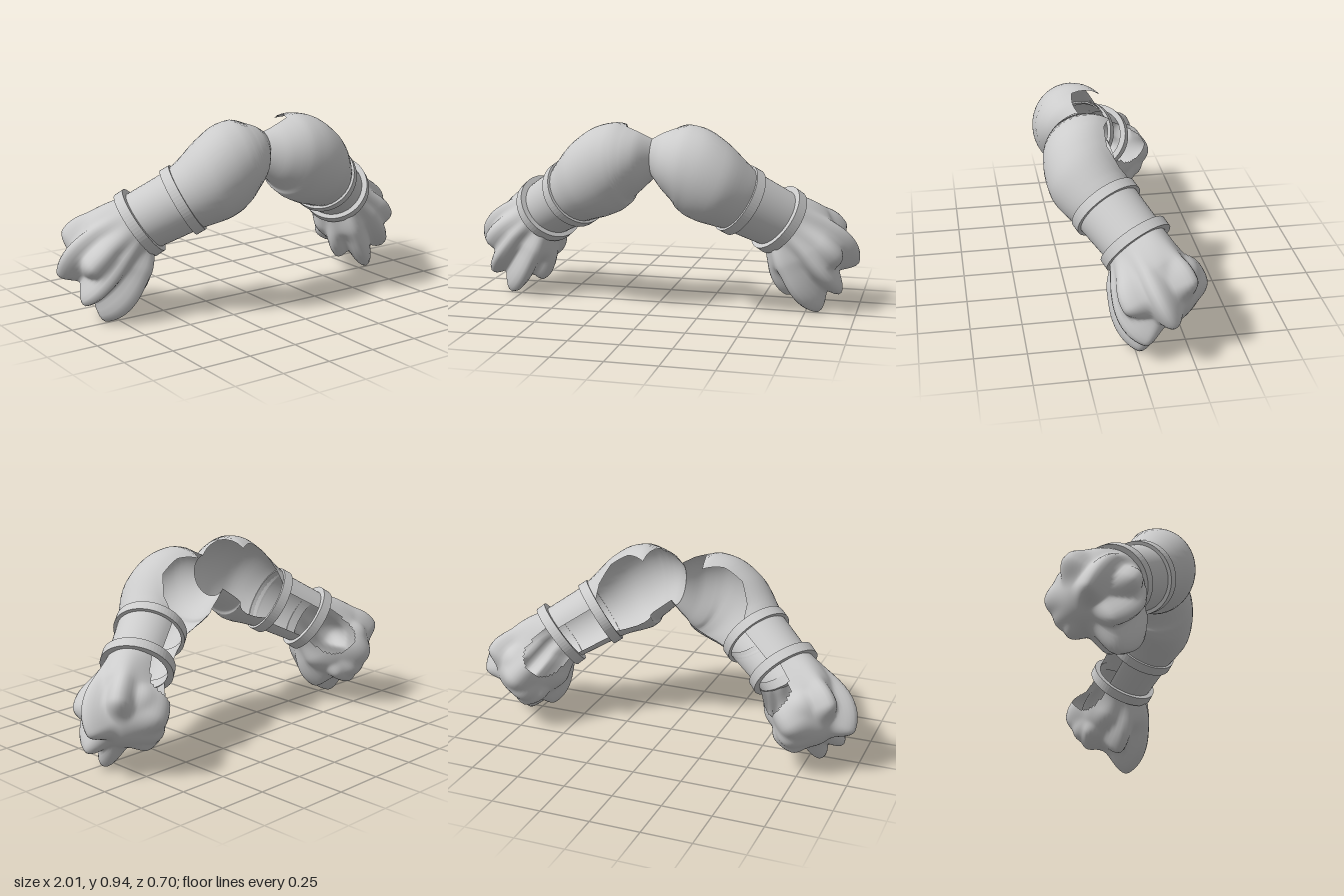
import * as THREE from 'three';
import { mergeVertices } from 'three/addons/utils/BufferGeometryUtils.js';

const V = (x, y, z) => new THREE.Vector3(x, y, z);
const material = new THREE.MeshStandardMaterial({ color: 0xcccccc, side: THREE.DoubleSide });
const { degToRad: rad, lerp, clamp, smoothstep } = THREE.MathUtils;

// Smooth sheet from a rule point(u, v); keep(u, v) can leave holes
function sheet(nu, nv, point, keep = () => true) {
  const pos = [], index = [];
  for (let i = 0; i <= nu; i++)
    for (let j = 0; j <= nv; j++) pos.push(...point(i / nu, j / nv).toArray());
  for (let i = 0; i < nu; i++)
    for (let j = 0; j < nv; j++) {
      if (!keep((i + 0.5) / nu, (j + 0.5) / nv)) continue;
      const a = i * (nv + 1) + j, b = a + nv + 1;
      index.push(a, b, b + 1, a, b + 1, a + 1);
    }
  const g = new THREE.BufferGeometry();
  g.setAttribute('position', new THREE.Float32BufferAttribute(pos, 3));
  g.setIndex(index);
  const merged = mergeVertices(g, 1e-5);
  merged.computeVertexNormals();
  return merged;
}

// Point at an angle round a limb: 0 is the front, 90 the top, 180 the back
function around(centre, dir, deg, high, deep) {
  const front = dir.clone().cross(V(0, 1, 0)).normalize();
  const up = front.clone().cross(dir).normalize();
  return centre.clone()
    .addScaledVector(front, deep * Math.cos(rad(deg)))
    .addScaledVector(up, high * Math.sin(rad(deg)));
}

// Centre and facing of the two bands that hold the cuff
const wristIn = V(0.425, 0.567, 0.077), inDir = V(0.73, -0.5, -0.45).normalize();
const wristOut = V(0.603, 0.457, -0.033), outDir = V(0.69, -0.57, -0.45).normalize();

// Upper arm: swelling shell, open at the back with a ragged upper edge
function upperArmGeometry() {
  // centre x, y, z, height radius, depth radius, lower and upper end angle
  const rows = [
    [0, 0.77, 0.1, 0.105, 0.11, -150, 66],
    [0.06, 0.755, 0.122, 0.15, 0.165, -146, 74],
    [0.115, 0.743, 0.135, 0.183, 0.193, -144, 82],
    [0.15, 0.737, 0.143, 0.205, 0.204, -143, 128],
    [0.22, 0.71, 0.15, 0.217, 0.206, -142, 112],
    [0.3, 0.662, 0.142, 0.205, 0.2, -142, 106],
    [0.37, 0.61, 0.115, 0.18, 0.175, -145, 118],
    [0.435, 0.561, 0.071, 0.158, 0.156, -155, 150],
  ];
  const curve = (f) => new THREE.CatmullRomCurve3(rows.map(f));
  const line = curve((r) => V(r[0], r[1], r[2]));
  const size = curve((r) => V(r[3], r[4], 0));
  // the end angles change in straight steps, which leaves the edge jagged
  const endAngle = (u, column) => {
    const i = Math.min(Math.floor(u * (rows.length - 1)), rows.length - 2);
    return lerp(rows[i][column], rows[i + 1][column], u * (rows.length - 1) - i);
  };
  return sheet(28, 28, (u, v) => {
    const s = size.getPoint(u);
    const dir = V(1, 0, 0).lerp(inDir, smoothstep(u, 0.1, 1)).normalize();
    return around(line.getPoint(u), dir, lerp(endAngle(u, 5), endAngle(u, 6), v), s.x, s.y);
  });
}

// Cuff: slightly tapered tube with a slot along the back
const cuffGeometry = () => sheet(4, 36, (u, v) => {
  const r = lerp(0.162, 0.15, u);
  return around(wristIn.clone().lerp(wristOut, u), inDir.clone().lerp(outDir, u).normalize(),
    lerp(-145, 145, v), r, r);
});

// Band round the end of the cuff, with a square section
function bandGeometry(inner, outer) {
  const half = 0.025;
  const section = new THREE.Shape().absarc(0, 0, outer, 0, Math.PI * 2);
  section.holes.push(new THREE.Path().absarc(0, 0, inner, 0, Math.PI * 2, true));
  return new THREE.ExtrudeGeometry(section, { depth: 2 * half, bevelEnabled: false, curveSegments: 32 })
    .translate(0, 0, -half);
}

// Paw: fans out from the wrist in ridges that end in claws and knuckles
function pawGeometry() {
  const centre = V(0.75, 0.29, -0.12), base = 0.17;
  const pole = V(-0.12, 0.16, 0.08).normalize();
  // tip offset from the centre, sharpness, and how far its ridge runs to the wrist
  const bumps = [
    [0.25, -0.05, -0.02, 28, 0.7], [0.17, -0.19, 0.1, 32, 0.7], [0.06, -0.29, 0.11, 28, 0.7],
    [-0.11, -0.22, 0.07, 26, 0.6], [-0.03, -0.17, -0.12, 26, 0.2], [0.16, 0.13, -0.13, 22, 0.7],
    [-0.03, 0.01, -0.23, 11, 0.3], [0.165, 0.01, 0.19, 16, 0.6], [-0.14, -0.04, 0.19, 9, 0],
    [-0.21, -0.03, 0.02, 10, 0], [-0.01, 0.26, 0.02, 7, 0], [-0.15, 0.2, 0.1, 2.5, 0],
    [0, 0.12, -0.17, 10, 0], [-0.05, -0.1, -0.18, 12, 0],
  ].map(([x, y, z, k, ridge]) => {
    const tip = V(x, y, z), dir = tip.clone().normalize();
    const toWrist = pole.clone().projectOnPlane(dir).normalize();
    return { dir, toWrist, k, rise: tip.length() - base, reach: ridge * dir.angleTo(pole) };
  });
  // height of one ridge in a direction, measured from its nearest crest point
  const ridgeHeight = (d, { dir, toWrist, k, rise, reach }) => {
    const t = clamp(Math.atan2(d.dot(toWrist), d.dot(dir)), 0, reach);
    const near = d.dot(dir) * Math.cos(t) + d.dot(toWrist) * Math.sin(t);
    return rise * (1 - 0.4 * smoothstep(t, 0, 1.2)) * Math.exp(k * (near - 1));
  };
  const e1 = V(0, 1, 0).cross(pole).normalize(), e2 = pole.clone().cross(e1);
  const gap = V(-0.18, 0.14, -0.12).normalize();
  const direction = (u, v) => {
    const t = lerp(0.55, Math.PI, u), a = Math.PI * 2 * v;
    return pole.clone().multiplyScalar(Math.cos(t))
      .addScaledVector(e1, Math.sin(t) * Math.cos(a))
      .addScaledVector(e2, Math.sin(t) * Math.sin(a));
  };
  return sheet(56, 80, (u, v) => {
    const d = direction(u, v);
    const sum = bumps.reduce((s, b) => s + ridgeHeight(d, b) ** 4, 0);
    const p = d.multiplyScalar(base + sum ** 0.25).add(centre);
    // draw the rim into the outer band
    const rim = p.clone().sub(wristOut).projectOnPlane(outDir).setLength(0.15).add(wristOut);
    return p.lerp(rim, 1 - smoothstep(u, 0, 0.22));
  }, (u, v) => direction(u, v).dot(gap) < 0.86);
}

function buildArm(name) {
  const arm = new THREE.Group();
  arm.name = name;
  const add = (part, geometry) => {
    const mesh = new THREE.Mesh(geometry, material);
    mesh.name = part;
    arm.add(mesh);
    return mesh;
  };
  add('upperArm', upperArmGeometry());
  add('cuff', cuffGeometry());
  const bands = [['innerBand', wristIn, inDir, 0.16], ['outerBand', wristOut, outDir, 0.148]];
  for (const [part, at, dir, inner] of bands) {
    const band = add(part, bandGeometry(inner, 0.178));
    band.position.copy(at);
    band.quaternion.setFromUnitVectors(V(0, 0, 1), dir);
  }
  add('paw', pawGeometry());
  return arm;
}

export function createModel() {
  const model = new THREE.Group();
  model.name = 'armPair';
  const left = buildArm('leftArm');
  const right = buildArm('rightArm');
  right.scale.x = -1;
  model.add(left, right);
  return model;
}
